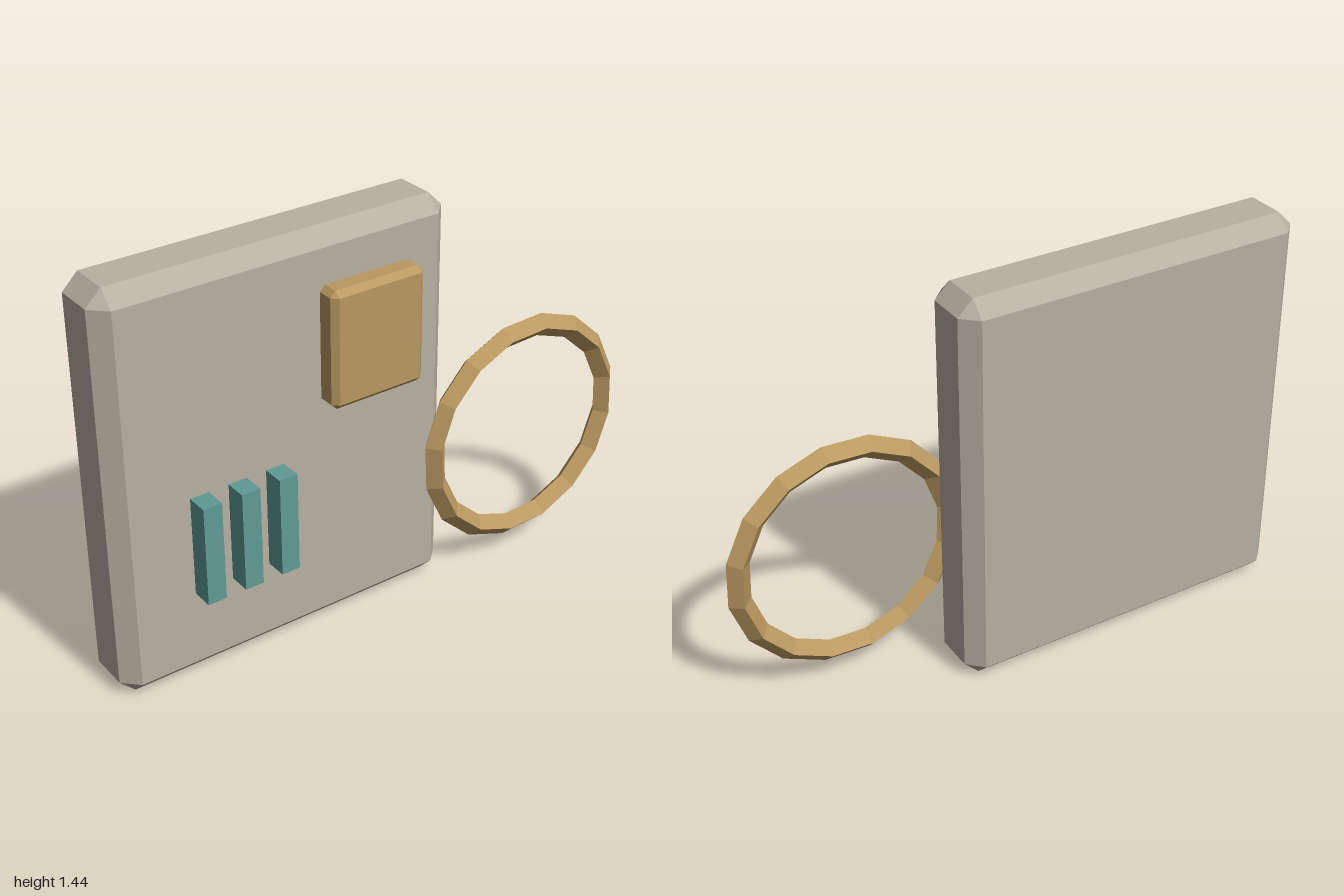
import * as THREE from 'three';
import { ConvexGeometry } from 'three/addons/geometries/ConvexGeometry.js';

// Box with one flat chamfer on every edge and a triangle on every corner
function chamferBox(w, h, d, c) {
  const pts = [];
  for (const x of [-1, 1]) for (const y of [-1, 1]) for (const z of [-1, 1]) {
    for (let k = 0; k < 3; k++) {
      pts.push(new THREE.Vector3(
        x * (w / 2 - (k === 0 ? 0 : c)),
        y * (h / 2 - (k === 1 ? 0 : c)),
        z * (d / 2 - (k === 2 ? 0 : c))
      ));
    }
  }
  return new ConvexGeometry(pts);
}

export function createModel() {
  const group = new THREE.Group();
  const makeMaterial = (name, color) => {
    const m = new THREE.MeshStandardMaterial({ color });
    m.name = name;
    return m;
  };
  const stone = makeMaterial('warm grey', 0xb8b0a2);
  const brass = makeMaterial('brass', 0xba9860);
  const teal = makeMaterial('teal', 0x5f9a96);

  const add = (name, geometry, material, x, y, z) => {
    const mesh = new THREE.Mesh(geometry, material);
    mesh.name = name;
    mesh.position.set(x, y, z);
    group.add(mesh);
    return mesh;
  };

  // Main slab
  add('body', chamferBox(1.27, 1.436, 0.246, 0.054), stone, -0.365, 0.718, -0.041);

  // Raised plate near the upper left corner, sunk into the slab
  add('plate', chamferBox(0.354, 0.412, 0.13, 0.02), brass, -0.063, 1.053, 0.092);

  // Row of three upright bars
  for (let i = 0; i < 3; i++) {
    add(`bar${i + 1}`, new THREE.BoxGeometry(0.067, 0.356, 0.1), teal, -0.7 + i * 0.139, 0.5, 0.11);
  }

  // Faceted ring with a diamond cross-section
  const ringGeometry = new THREE.TorusGeometry(0.388, 0.041, 4, 16).toNonIndexed();
  ringGeometry.computeVertexNormals();
  const ring = add('ring', ringGeometry, brass, 0.573, 0.5, 0.125);
  ring.rotation.z = THREE.MathUtils.degToRad(14);

  return group;
}
